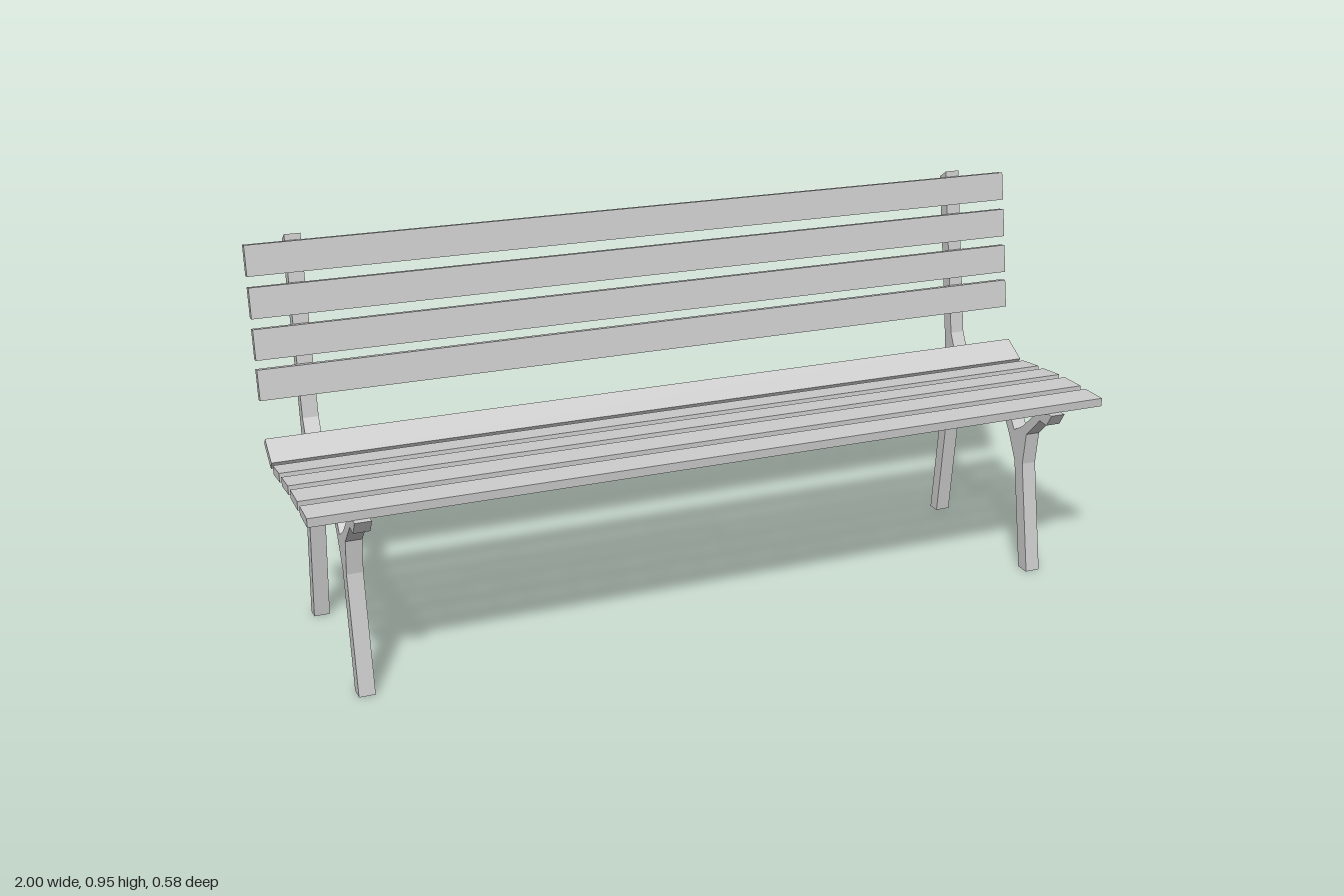
import * as THREE from 'three';

const material = new THREE.MeshStandardMaterial({ color: 0xcccccc });
const toPoints = (list) => list.map(([z, y]) => new THREE.Vector2(z, y));

// Side profile of the cast frame as (z, y): legs, struts, seat rail and back post
const outline = [
  [-0.23, 0], [-0.203, 0.25], [-0.14, 0.33], [-0.08, 0.378], [0.074, 0.394], [0.11, 0.34],
  [0.142, 0.277], [0.189, 0], [0.226, 0], [0.178, 0.28], [0.188, 0.363], [0.243, 0.418],
  [0.273, 0.415], [0.293, 0.446], [0.105, 0.453], [-0.08, 0.441], [-0.147, 0.461],
  [-0.178, 0.486], [-0.198, 0.524], [-0.262, 0.95], [-0.291, 0.932], [-0.228, 0.506],
  [-0.218, 0.415], [-0.263, 0],
];
// Openings between the seat rail and the front and rear struts
const openings = [
  [[0.208, 0.416], [0.089, 0.418], [0.132, 0.358], [0.17, 0.38]],
  [[-0.08, 0.408], [-0.135, 0.416], [-0.183, 0.428], [-0.2, 0.292], [-0.152, 0.358]],
];

function frameGeometry(width) {
  const shape = new THREE.Shape(toPoints(outline));
  shape.holes = openings.map((o) => new THREE.Path(toPoints(o)));
  const geometry = new THREE.ExtrudeGeometry(shape, { depth: width, bevelEnabled: false });
  return geometry.translate(0, 0, -width / 2).rotateY(-Math.PI / 2);
}

// Slat centres and tilt: z, y, degrees
const seatSlats = [
  [0.2405, 0.4575, 2], [0.1465, 0.461, 1], [0.0505, 0.459, -4], [-0.0465, 0.453, -5], [-0.135, 0.471, 32],
];
const backSlats = [
  [-0.198, 0.618, 81], [-0.2115, 0.711, 81], [-0.226, 0.806, 81], [-0.242, 0.902, 81],
];

export function createModel() {
  const bench = new THREE.Group();
  bench.name = 'bench';

  // Two end frames
  const frame = frameGeometry(0.038);
  for (const [name, x] of [['leftFrame', 0.861], ['rightFrame', -0.884]]) {
    const mesh = new THREE.Mesh(frame, material);
    mesh.name = name;
    mesh.position.x = x;
    bench.add(mesh);
  }

  // Long boards of the seat and backrest
  const board = new THREE.BoxGeometry(2, 0.021, 0.072);
  const addSlats = (name, slats) => {
    const group = new THREE.Group();
    group.name = name;
    slats.forEach(([z, y, tilt], i) => {
      const mesh = new THREE.Mesh(board, material);
      mesh.name = `${name}Slat${i + 1}`;
      mesh.position.set(0, y, z);
      mesh.rotation.x = THREE.MathUtils.degToRad(tilt);
      group.add(mesh);
    });
    bench.add(group);
  };
  addSlats('seat', seatSlats);
  addSlats('backrest', backSlats);

  return bench;
}
